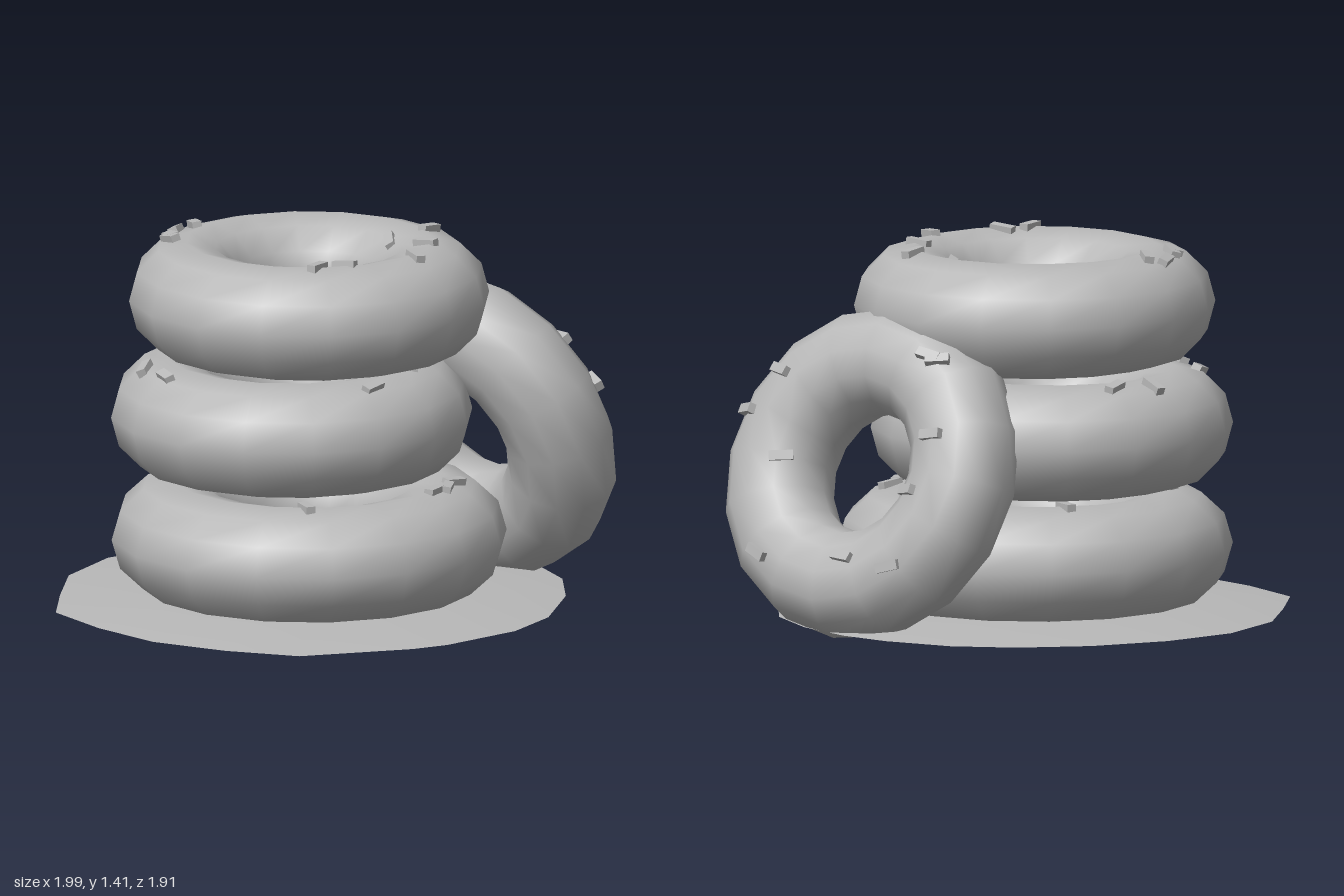
import * as THREE from 'three';

const grey = new THREE.MeshStandardMaterial({ color: 0xb8b8b8 });
grey.name = 'plain grey';

// A ring lying flat, with sprinkles [x, z, angle in degrees] set on its upper surface
function makeDonut(name, R, r, sprinkles) {
  const donut = new THREE.Group();
  donut.name = name;
  const ringGeo = new THREE.TorusGeometry(R, r, 12, 16).rotateX(Math.PI / 2);
  const ring = new THREE.Mesh(ringGeo, grey);
  ring.name = name + 'Ring';
  donut.add(ring);

  const up = new THREE.Vector3(0, 1, 0);
  const sprinkleGeo = new THREE.BoxGeometry(0.09, 0.03, 0.036);
  for (const [x, z, angle] of sprinkles) {
    const rho = Math.hypot(x, z);
    const out = (rho - R) / r;
    const rise = Math.sqrt(Math.max(0, 1 - out * out));
    const normal = new THREE.Vector3((x / rho) * out, rise, (z / rho) * out).normalize();
    const sprinkle = new THREE.Mesh(sprinkleGeo, grey);
    sprinkle.name = 'sprinkle';
    sprinkle.position.set(x, rise * r, z);
    sprinkle.quaternion.setFromUnitVectors(up, normal);
    sprinkle.rotateY(THREE.MathUtils.degToRad(angle));
    donut.add(sprinkle);
  }
  return donut;
}

// Uneven, slightly raised sheet under the stack
function makePlate() {
  const rim = [
    [-0.04, -0.96], [0.25, -0.9], [0.52, -0.76], [0.73, -0.57], [0.86, -0.36], [0.92, -0.1],
    [0.92, 0.1], [0.86, 0.34], [0.73, 0.57], [0.52, 0.75], [0.21, 0.91], [-0.04, 0.95],
    [-0.37, 0.89], [-0.5, 0.83], [-0.85, 0.57], [-0.95, 0.3], [-1, 0], [-0.95, -0.29],
    [-0.85, -0.57], [-0.62, -0.73], [-0.35, -0.9],
  ];
  const n = rim.length;
  const plate = new THREE.Group();
  plate.name = 'plate';
  const addSheet = (name, levels, flip) => {
    const pos = [-0.04, levels[0][1], 0];
    const index = [];
    const tri = (a, b, c) => (flip ? index.push(a, c, b) : index.push(a, b, c));
    levels.forEach(([s, y], k) => {
      if (k === 0) return;
      rim.forEach(([x, z], i) => {
        pos.push(-0.04 + (x + 0.04) * s, y, z * s);
        const j = (i + 1) % n;
        const a = 1 + (k - 1) * n + i, b = 1 + (k - 1) * n + j;
        if (k === 1) tri(0, b, a);
        else {
          tri(a - n, b - n, b);
          tri(a - n, b, a);
        }
      });
    });
    // inner fan and outer bands share one winding
    const geo = new THREE.BufferGeometry();
    geo.setAttribute('position', new THREE.Float32BufferAttribute(pos, 3));
    geo.setIndex(index);
    geo.computeVertexNormals();
    const mesh = new THREE.Mesh(geo, grey);
    mesh.name = name;
    plate.add(mesh);
  };
  addSheet('plateTop', [[0, 0.075], [0.62, 0.075], [1, 0.038]], false);
  addSheet('plateBottom', [[0, 0.036], [1, 0.036]], true);
  return plate;
}

export function createModel() {
  const model = new THREE.Group();
  model.name = 'donutStack';
  model.add(makePlate());

  // Stacked donuts, from the bottom up
  const bottom = makeDonut('bottomDonut', 0.5, 0.235, [
    [0.28, 0.46, -10], [0.11, 0.5, 10], [0.19, 0.5, 30], [-0.4, 0.3, 60], [-0.3, -0.4, 20], [0.3, -0.4, 70],
  ]);
  bottom.position.set(-0.06, 0.27, 0);
  bottom.scale.y = 0.93;

  const middle = makeDonut('middleDonut', 0.455, 0.217, [
    [-0.165, 0.51, 0], [-0.5, -0.2, 60], [-0.42, -0.36, 20], [0.05, -0.53, 80], [0.2, -0.47, 10], [0.15, 0.45, 40],
  ]);
  middle.position.set(-0.075, 0.725, -0.07);

  const top = makeDonut('topDonut', 0.455, 0.215, [
    [-0.24, -0.46, 60], [-0.27, -0.44, 68], [-0.12, -0.53, 24], [-0.06, -0.49, 52], [0.295, 0.15, 38],
    [0.42, 0.235, 0], [0.225, 0.37, -84], [-0.235, 0.35, -78], [-0.335, 0.3, 6], [0.03, 0.475, 65],
  ]);
  top.position.set(-0.06, 1.175, 0);

  // Donut leaning against the stack
  const leaning = makeDonut('leaningDonut', 0.428, 0.202, [
    [-0.31, 0.385, 78], [-0.15, 0.51, 90], [0.005, 0.31, 105], [0.38, 0.29, 68], [0.355, -0.11, 85],
    [0.37, -0.33, 108], [0.075, -0.33, 90], [-0.14, -0.395, 100], [-0.425, -0.32, 110], [-0.435, -0.28, 85],
  ]);
  leaning.position.set(0.64, 0.602, 0.197);
  leaning.rotation.z = THREE.MathUtils.degToRad(-69);

  model.add(bottom, middle, top, leaning);
  return model;
}
